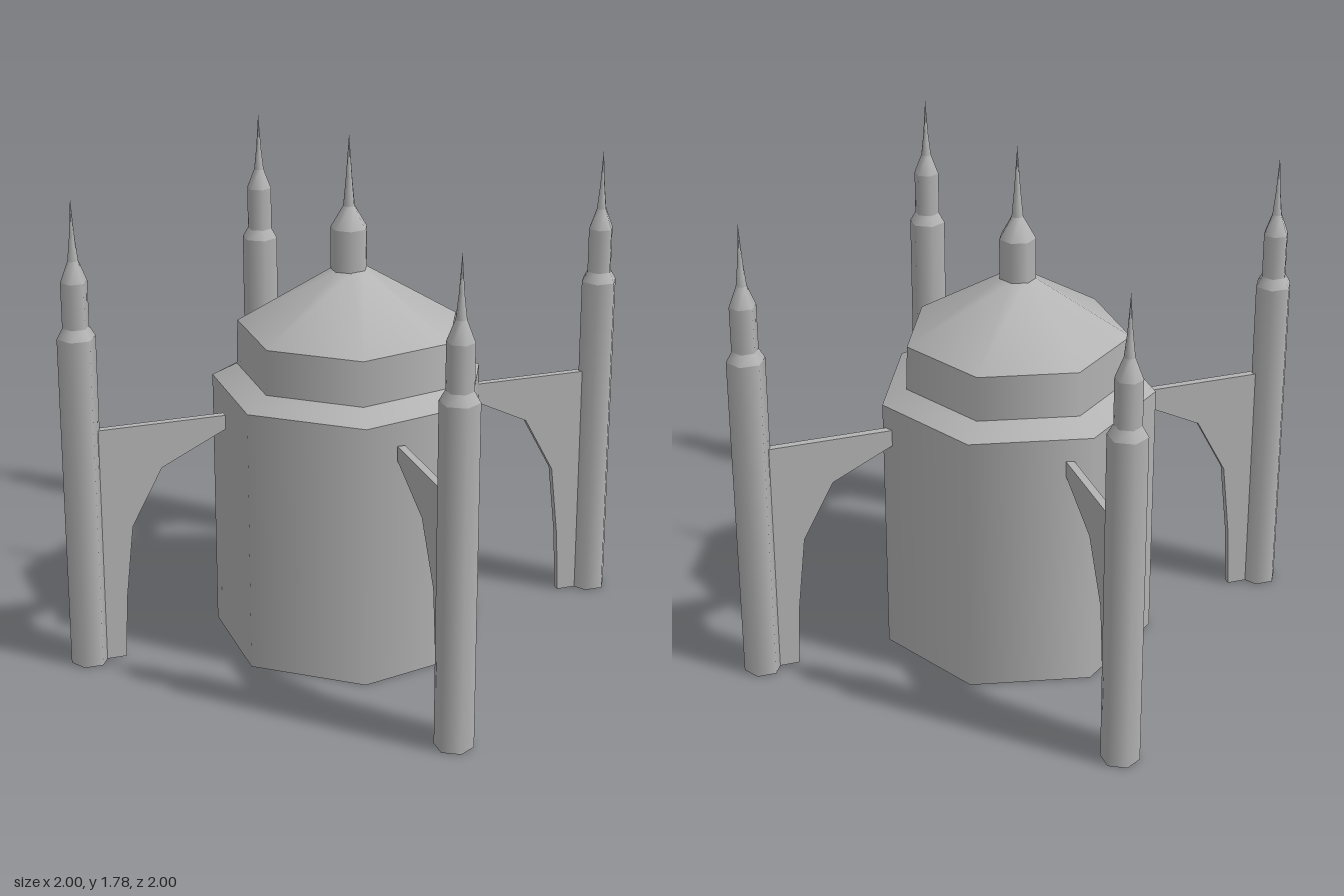
import * as THREE from 'three';

const stone = new THREE.MeshStandardMaterial({ color: 0xb4b4b4, side: THREE.DoubleSide });
stone.name = 'stone';

// Stack of open frustums, smooth around and sharp at each ring; rings are [radius, y]
function stack(name, sides, rings) {
  const group = new THREE.Group();
  group.name = name;
  for (let i = 0; i < rings.length - 1; i++) {
    const [r0, y0] = rings[i], [r1, y1] = rings[i + 1];
    const geo = new THREE.CylinderGeometry(r1, r0, y1 - y0, sides, 1, true, Math.PI / 2);
    geo.translate(0, (y0 + y1) / 2, 0);
    const mesh = new THREE.Mesh(geo, stone);
    mesh.name = `${name}Tier${i + 1}`;
    group.add(mesh);
  }
  return group;
}

// Arched wing wall reaching from a tower to the hall, in the radial plane
function buttressGeometry() {
  const shape = new THREE.Shape([
    [0.93, 0], [0.93, 0.84], [0.44, 0.84], [0.44, 0.79], [0.665, 0.68],
    [0.772, 0.48], [0.80, 0.22], [0.81, 0],
  ].map(([x, y]) => new THREE.Vector2(x, y)));
  const geo = new THREE.ExtrudeGeometry(shape, { depth: 0.027, bevelEnabled: false });
  geo.translate(0, 0, -0.0135);
  return geo;
}

export function createModel() {
  const model = new THREE.Group();
  model.name = 'domedHall';

  // Seven-sided hall with sloped ledge, drum and roof
  const hall = stack('hall', 7, [
    [0.475, 0], [0.475, 0.92], [0.39, 0.965], [0.385, 1.12], [0.06, 1.32],
  ]);
  hall.position.z = -0.003;
  model.add(hall);

  // Lantern and needle on the roof
  const lantern = stack('lantern', 7, [
    [0.063, 1.3], [0.063, 1.46], [0.02, 1.535], [0.011, 1.63], [0, 1.78],
  ]);
  lantern.position.set(-0.003, 0, -0.003);
  model.add(lantern);

  // Four towers with buttresses: [name, turn, x offset, z offset]
  const wing = buttressGeometry();
  const arms = [
    ['left', 0, 0, -0.03], ['back', Math.PI / 2, -0.03, 0],
    ['right', Math.PI, 0, -0.03], ['front', -Math.PI / 2, 0.022, 0],
  ];
  for (const [name, turn, x, z] of arms) {
    const arm = new THREE.Group();
    arm.name = `${name}Arm`;
    const tower = stack(`${name}Tower`, 6, [
      [0.065, 0], [0.065, 1.17], [0.045, 1.205], [0.045, 1.36],
      [0.018, 1.43], [0.009, 1.51], [0, 1.64],
    ]);
    tower.position.x = 0.935;
    const buttress = new THREE.Mesh(wing, stone);
    buttress.name = `${name}Buttress`;
    arm.add(tower, buttress);
    arm.rotation.y = turn;
    arm.position.set(x, 0, z);
    model.add(arm);
  }
  return model;
}
